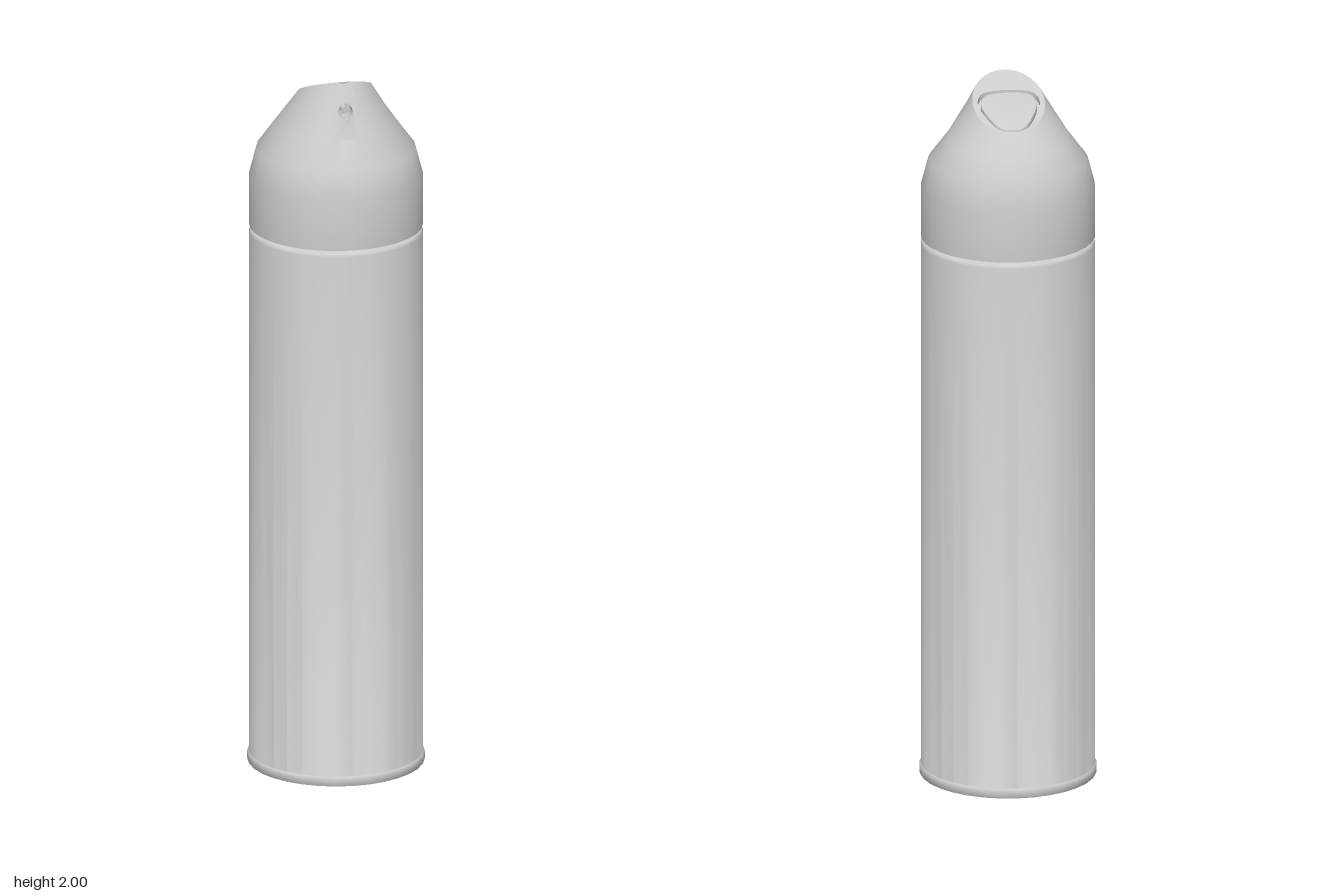
import * as THREE from 'three';
import { mergeGeometries, mergeVertices, toCreasedNormals } from 'three/addons/utils/BufferGeometryUtils.js';

const SEG = 32;
const V2 = (x, y) => new THREE.Vector2(x, y);
const lerp = THREE.MathUtils.lerp;

// Cap cross-sections, bottom to top: half width, front [z, y], back [z, y]
const RINGS = [
  [0.22, [0.22, 1.555], [-0.22, 1.555]],
  [0.24, [0.24, 1.555], [-0.24, 1.555]],
  [0.24, [0.24, 1.7], [-0.24, 1.7]],
  [0.22, [0.22, 1.775], [-0.22, 1.78]],
  [0.17, [0.165, 1.85], [-0.18, 1.84]],
  [0.1, [0.105, 2.0], [-0.135, 1.893]],
];
const LAST = RINGS.length - 1;
const NOZZLE_Y = 1.925, NOZZLE_R = 0.02;

// Point on a tilted elliptical ring; angle 0 faces the front
function ringPoint([rx, front, back], angle) {
  const k = (1 + Math.cos(angle)) / 2;
  return new THREE.Vector3(rx * Math.sin(angle), lerp(back[1], front[1], k), lerp(back[0], front[0], k));
}

// Front wall of the upper cap: depth at a given height
const frontZ = (y) => lerp(0.165, 0.105, (y - 1.85) / 0.15);

function capShell() {
  const step = (Math.PI * 2) / SEG, pos = [];
  for (let j = 0; j < LAST; j++) {
    for (let i = 0; i < SEG; i++) {
      // leave out the two front panels that hold the nozzle opening
      if (j === LAST - 1 && (i === 0 || i === SEG - 1)) continue;
      const a = ringPoint(RINGS[j], i * step), b = ringPoint(RINGS[j], (i + 1) * step);
      const c = ringPoint(RINGS[j + 1], (i + 1) * step), d = ringPoint(RINGS[j + 1], i * step);
      for (const p of [a, b, c, a, c, d]) pos.push(p.x, p.y, p.z);
    }
  }
  const walls = new THREE.BufferGeometry();
  walls.setAttribute('position', new THREE.Float32BufferAttribute(pos, 3));

  // Front panel with a round opening, drawn as (angle, height) and wrapped on the cap
  const panel = new THREE.Shape([
    V2(-step, 0), V2(0, -0.001), V2(step, 0), V2(step, 1), V2(0, 1.001), V2(-step, 1)]);
  const hole = [];
  for (let i = 0; i < 20; i++) {
    const a = (-i / 20) * Math.PI * 2;
    const t = (NOZZLE_Y + NOZZLE_R * Math.sin(a) - 1.85) / 0.15;
    hole.push(V2(Math.asin((NOZZLE_R * Math.cos(a)) / lerp(0.17, 0.1, t)), t));
  }
  panel.holes.push(new THREE.Path(hole));
  const patch = new THREE.ShapeGeometry(panel).toNonIndexed();
  patch.deleteAttribute('uv');
  patch.deleteAttribute('normal');
  const p = patch.attributes.position;
  for (let i = 0; i < p.count; i++) {
    const angle = p.getX(i), t = p.getY(i);
    const q = ringPoint(RINGS[LAST - 1], angle).lerp(ringPoint(RINGS[LAST], angle), t);
    p.setXYZ(i, q.x, q.y, q.z);
  }
  const shell = mergeVertices(mergeGeometries([walls, patch]), 5e-4);
  return toCreasedNormals(shell, 0.8);
}

// Lays an extruded (x, -z) outline on the sloping top, its upper face at the given offset
function onSlope(shape, depth, offset, bevel = 0) {
  const geo = new THREE.ExtrudeGeometry(shape, {
    depth: depth - bevel, bevelEnabled: bevel > 0, bevelSize: bevel,
    bevelThickness: bevel, bevelOffset: -bevel, bevelSegments: 2,
  });
  geo.rotateX(-Math.PI / 2).translate(0, offset - depth, 0);
  const p = geo.attributes.position;
  const slope = (2.0 - 1.893) / 0.24;
  for (let i = 0; i < p.count; i++) p.setY(i, p.getY(i) + 2.0 + slope * (p.getZ(i) - 0.105));
  return toCreasedNormals(geo, 0.5);
}

// Finger button outline: flat at the front, narrowing to the back
function buttonOutline(scale) {
  const half = [[0.055, 0.024], [0.078, 0.008], [0.086, -0.022], [0.068, -0.072], [0.037, -0.119]];
  const pts = [...half, [0, -0.128], ...half.map(([x, z]) => [-x, z]).reverse()]
    .map(([x, z]) => new THREE.Vector3(x * scale, 0.05 - (z + 0.05) * scale, 0));
  return new THREE.CatmullRomCurve3(pts, true, 'centripetal').getPoints(44).slice(0, -1).map((v) => V2(v.x, v.y));
}

export function createModel() {
  const group = new THREE.Group();
  const material = new THREE.MeshStandardMaterial({ color: 0xcccccc });
  const openMaterial = new THREE.MeshStandardMaterial({ color: 0xcccccc, side: THREE.DoubleSide });
  const add = (name, geometry, mat = material) => {
    const mesh = new THREE.Mesh(geometry, mat);
    mesh.name = name;
    group.add(mesh);
    return mesh;
  };

  // Can body with a rolled foot rim and a rounded shoulder under the cap
  const profile = [
    [0, 0], [0.243, 0], [0.245, 0.004], [0.245, 0.02], [0.243, 0.025], [0.24, 0.028],
    [0.24, 1.536], [0.237, 1.544], [0.23, 1.548], [0.222, 1.549], [0.222, 1.56], [0, 1.56],
  ].map(([x, y]) => V2(x, y));
  add('canBody', toCreasedNormals(new THREE.LatheGeometry(profile, SEG), 0.8));

  // Domed cap drawn up to a sloping top
  add('cap', capShell(), openMaterial);

  // Sloping top with the button opening
  const top = new THREE.Shape();
  top.setFromPoints(Array.from({ length: SEG }, (_, i) => {
    const q = ringPoint(RINGS[LAST], (i / SEG) * Math.PI * 2);
    return V2(q.x, -q.z);
  }));
  top.holes.push(new THREE.Path(buttonOutline(1)));
  add('capTop', onSlope(top, 0.02, 0));
  add('buttonGroove', onSlope(new THREE.Shape(buttonOutline(1)), 0.004, -0.016));
  add('button', onSlope(new THREE.Shape(buttonOutline(0.9)), 0.018, 0, 0.003));

  // Nozzle recess running straight back from the opening, with a spray tip inside
  const back = 0.1;
  const recess = new THREE.CylinderGeometry(NOZZLE_R, NOZZLE_R, 1, 20, 1, true);
  recess.rotateX(Math.PI / 2).translate(0, NOZZLE_Y, 0);
  const p = recess.attributes.position;
  for (let i = 0; i < p.count; i++) p.setZ(i, p.getZ(i) > 0 ? frontZ(p.getY(i)) : back);
  add('nozzleRecess', recess, openMaterial);
  add('nozzleBack', new THREE.CircleGeometry(NOZZLE_R, 20)).position.set(0, NOZZLE_Y, back);
  const tip = new THREE.CylinderGeometry(0.008, 0.01, 0.02, 16).rotateX(Math.PI / 2);
  add('nozzleTip', tip).position.set(0, NOZZLE_Y, back + 0.01);

  return group;
}
